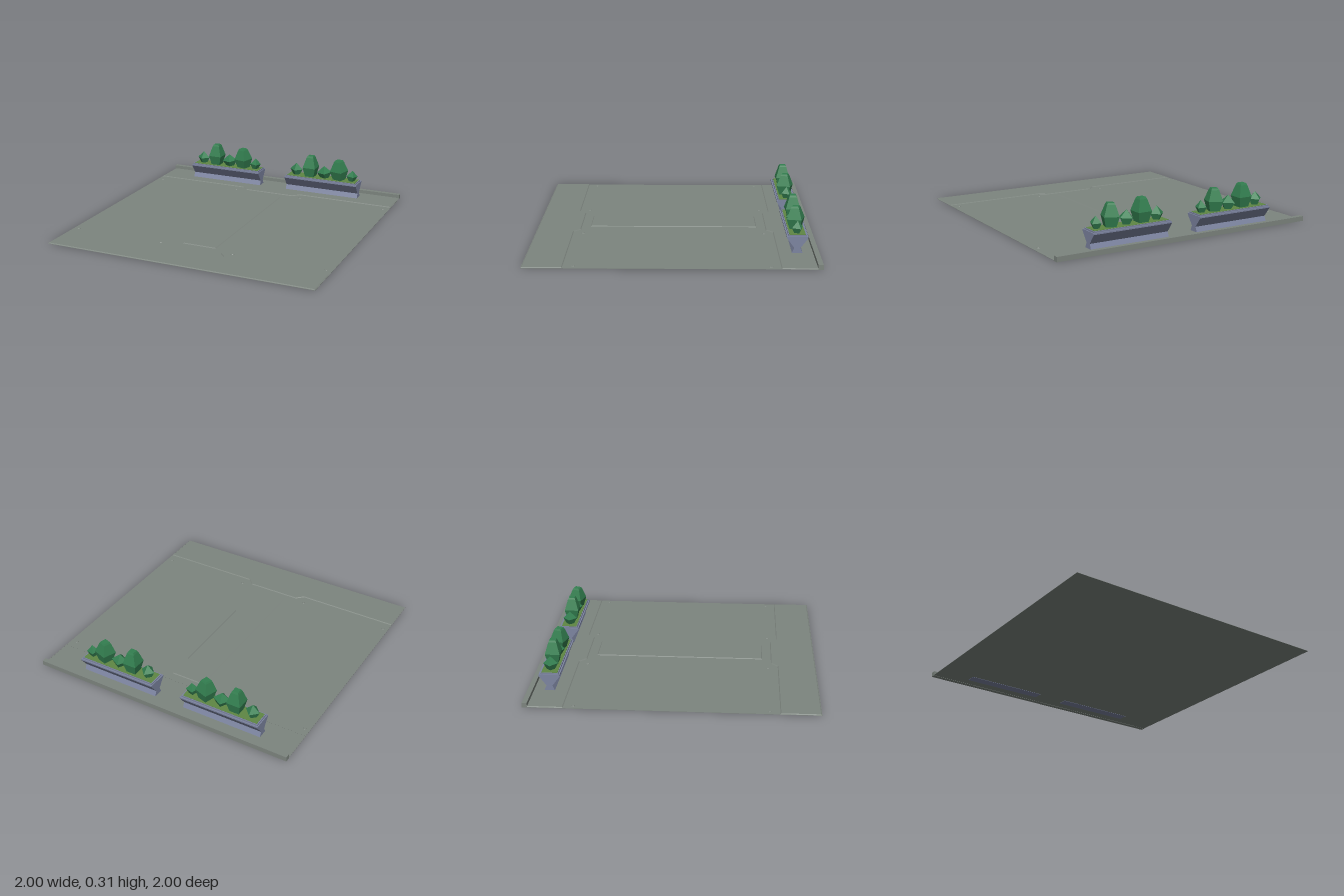
import * as THREE from 'three';

const mat = (name, color, flat = true) => {
  const m = new THREE.MeshStandardMaterial({ color, flatShading: flat });
  m.name = name;
  return m;
};

export function createModel() {
  const grey = mat('floor grey', 0x7d857f);
  const blue = mat('planter blue grey', 0x7c84a0);
  const moss = mat('moss green', 0x5f8744);
  const leaf = mat('leaf green', 0x337f50);
  const model = new THREE.Group();

  const add = (parent, name, geometry, material, x = 0, y = 0, z = 0) => {
    const mesh = new THREE.Mesh(geometry, material);
    mesh.name = name;
    mesh.position.set(x, y, z);
    parent.add(mesh);
    return mesh;
  };

  // Flat panel with a bevelled top edge and a flat underside; points are [x, z]
  const panel = (points) => {
    const shape = new THREE.Shape(points.map(([x, z]) => new THREE.Vector2(x, -z)));
    const g = new THREE.ExtrudeGeometry(shape, {
      depth: 0.002, bevelSize: 0.008, bevelOffset: -0.008, bevelThickness: 0.007, bevelSegments: 1,
    });
    g.rotateX(-Math.PI / 2);
    const p = g.attributes.position;
    for (let i = 0; i < p.count; i++) p.setY(i, Math.max(p.getY(i), 0.002));
    g.computeVertexNormals();
    return g;
  };

  // Floor: recessed sheet, raised end panels and a raised central strip
  add(model, 'floorSheet', new THREE.BoxGeometry(2, 0.002, 2), grey, 0, 0.003, 0);
  for (const s of [-1, 1]) {
    add(model, s < 0 ? 'backPanel' : 'frontPanel', panel([
      [-1, s], [-1, 0.723 * s], [-0.25, 0.723 * s], [-0.2, 0.675 * s],
      [0.2, 0.675 * s], [0.25, 0.723 * s], [1, 0.723 * s], [1, s],
    ]), grey);
  }
  add(model, 'centreStrip', panel([[-0.13, -0.615], [-0.13, 0.615], [0.13, 0.615], [0.13, -0.615]]), grey);
  add(model, 'kerb', new THREE.BoxGeometry(2, 0.035, 0.035), grey, 0, 0.0175, -0.9825);

  // Floor bolts
  const bolt = new THREE.CylinderGeometry(0.01, 0.014, 0.005, 8);
  for (const z of [-0.66, 0.655])
    for (const x of [-0.96, -0.28, 0.275, 0.955]) add(model, 'bolt', bolt, grey, x, 0.0055, z);

  // Planter trough: waisted cross-section swept along x
  const half = [[0.037, 0], [0.037, 0.008], [0.021, 0.045], [0.073, 0.115], [0.073, 0.125]];
  const outline = [...half, ...half.map(([x, y]) => [-x, y]).reverse()];
  const trough = new THREE.ExtrudeGeometry(
    new THREE.Shape(outline.map(([x, y]) => new THREE.Vector2(x, y))),
    { depth: 0.605, bevelEnabled: false });
  trough.translate(0, 0, -0.3025).rotateY(Math.PI / 2);

  // Four-sided faceted shrubs
  const shrub = (profile) => new THREE.LatheGeometry(
    profile.map(([r, y]) => new THREE.Vector2(r, y)), 4).toNonIndexed();
  const small = shrub([[0, 0], [0.027, 0], [0.052, 0.045], [0, 0.097]]);
  const tall = shrub([[0, 0], [0.05, 0], [0.074, 0.075], [0.04, 0.155], [0.031, 0.168], [0, 0.168]]);
  const shrubs = [ // geometry, x, turn, tilt, scale x, scale y
    [small, -0.226, 0, 0, 1, 1],
    [tall, -0.103, Math.PI / 4, 0, 1, 1.02],
    [small, 0.017, 0.3, 0.08, 1.15, 1.02],
    [tall, 0.139, Math.PI / 4 - 0.3, 0.04, 1, 0.96],
    [small, 0.243, 0.5, -0.06, 0.85, 0.92],
  ];

  for (const x of [-0.4425, 0.3925]) {
    const planter = new THREE.Group();
    planter.name = 'planter';
    planter.position.set(x, 0, -0.857);
    add(planter, 'trough', trough, blue);
    add(planter, 'rim', new THREE.BoxGeometry(0.59, 0.01, 0.125), blue, 0, 0.13, 0);
    add(planter, 'moss', new THREE.BoxGeometry(0.575, 0.004, 0.112), moss, 0, 0.135, 0);
    for (const [g, sx, turn, tilt, kx, ky] of shrubs) {
      const bush = add(planter, 'shrub', g, leaf, sx, 0.134, 0);
      bush.rotation.set(0, turn, tilt);
      bush.scale.set(kx, ky, kx);
    }
    model.add(planter);
  }
  return model;
}
